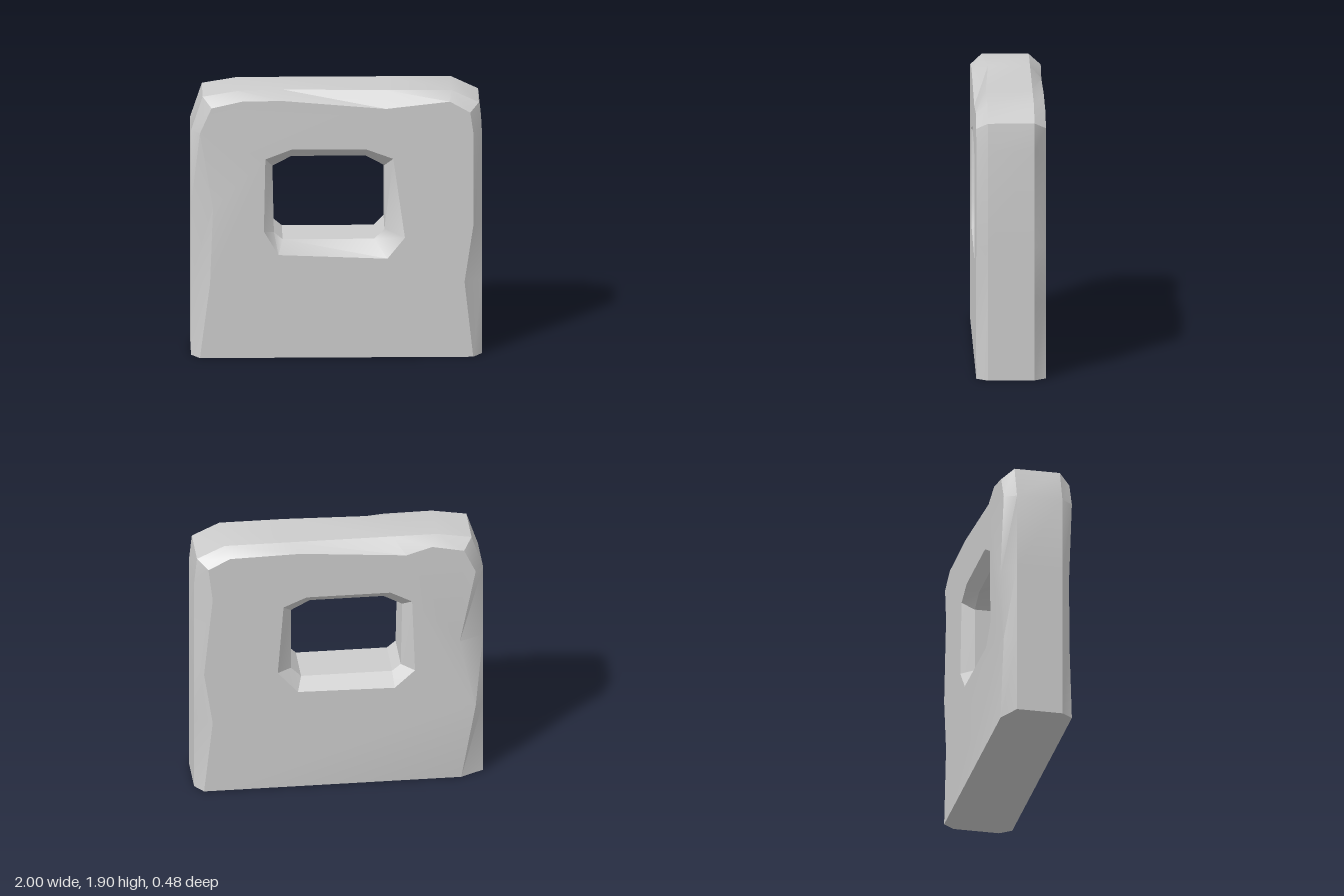
import * as THREE from 'three';
import { toCreasedNormals } from 'three/addons/utils/BufferGeometryUtils.js';

// Chipped stone slab with a bevelled window. Every loop runs clockwise seen from the front.
const FACE_Z = 0.24, RIM_Z = 0.16;

// outer loops: worn front edge, full silhouette, worn back edge
const frontEdge = [[-.94, 0], [-.87, .54], [-.85, 1.08], [-.94, 1.62], [-.86, 1.8], [-.64, 1.85], [-.36, 1.85],
  [.34, 1.79], [.78, 1.84], [.92, 1.76], [.94, 1.62], [.94, .94], [.88, .54], [.94, 0]];
const rim = [[-1, 0], [-1, .54], [-1, 1.08], [-1, 1.62], [-.92, 1.86], [-.68, 1.9], [-.37, 1.9],
  [.34, 1.9], [.79, 1.9], [.98, 1.81], [1, 1.62], [1, .94], [1, .54], [1, 0]];
const backEdge = [[-.84, 0], [-.94, .56], [-.83, 1.08], [-.94, 1.63], [-.86, 1.8], [-.64, 1.845], [-.46, 1.79],
  [.27, 1.85], [.76, 1.84], [.91, 1.76], [.88, 1.52], [.94, .93], [.88, .54], [.94, 0]];

// window loops: front opening, inner wall, back opening
const windowFront = [[-.49, 1.43], [-.31, 1.5], [.2, 1.5], [.39, 1.43], [.47, .86], [.35, .71], [-.4, .74], [-.5, .91]];
const windowWall = [[-.44, 1.36], [-.31, 1.43], [.2, 1.43], [.33, 1.36], [.33, .9], [.26, .83], [-.37, .83], [-.43, .88]];
const windowBack = [[-.5, 1.42], [-.35, 1.5], [.23, 1.5], [.39, 1.43], [.43, .91], [.29, .75], [-.38, .74], [-.52, .87]];

const at = (loop, z) => loop.map(([x, y]) => new THREE.Vector3(x, y, z));

// joins neighbouring loops with quads
function stitch(out, loops) {
  for (let k = 0; k < loops.length - 1; k++) {
    const a = loops[k], b = loops[k + 1];
    for (let i = 0; i < a.length; i++) {
      const j = (i + 1) % a.length;
      out.push(a[i], a[j], b[i], a[j], b[j], b[i]);
    }
  }
}

// flat face with the window cut out, facing the sign of dir
function cap(out, outer, hole, dir) {
  const points = [...outer, ...hole];
  const flat = (loop) => loop.map((p) => new THREE.Vector2(p.x, p.y));
  for (const [i, j, k] of THREE.ShapeUtils.triangulateShape(flat(outer), [flat(hole)])) {
    const a = points[i], b = points[j], c = points[k];
    const turn = (b.x - a.x) * (c.y - a.y) - (b.y - a.y) * (c.x - a.x);
    if (turn * dir > 0) out.push(a, b, c);
    else out.push(a, c, b);
  }
}

export function createModel() {
  const group = new THREE.Group();
  const out = [];

  const outer = [at(frontEdge, FACE_Z), at(rim, RIM_Z), at(rim, -RIM_Z), at(backEdge, -FACE_Z)];
  outer[1][6].z = 0.13; // deeper chip on the top front edge
  const hole = [at(windowFront, FACE_Z), at(windowWall, RIM_Z), at(windowWall, -RIM_Z), at(windowBack, -FACE_Z)];

  // bevelled outside, window lining, front and back faces
  stitch(out, outer);
  stitch(out, [...hole].reverse());
  cap(out, outer[0], hole[0], 1);
  cap(out, outer[3], hole[3], -1);

  const geometry = toCreasedNormals(new THREE.BufferGeometry().setFromPoints(out), 0.5);
  const slab = new THREE.Mesh(geometry, new THREE.MeshStandardMaterial({ color: 0xcccccc }));
  slab.name = 'windowedStoneSlab';
  group.add(slab);
  return group;
}
